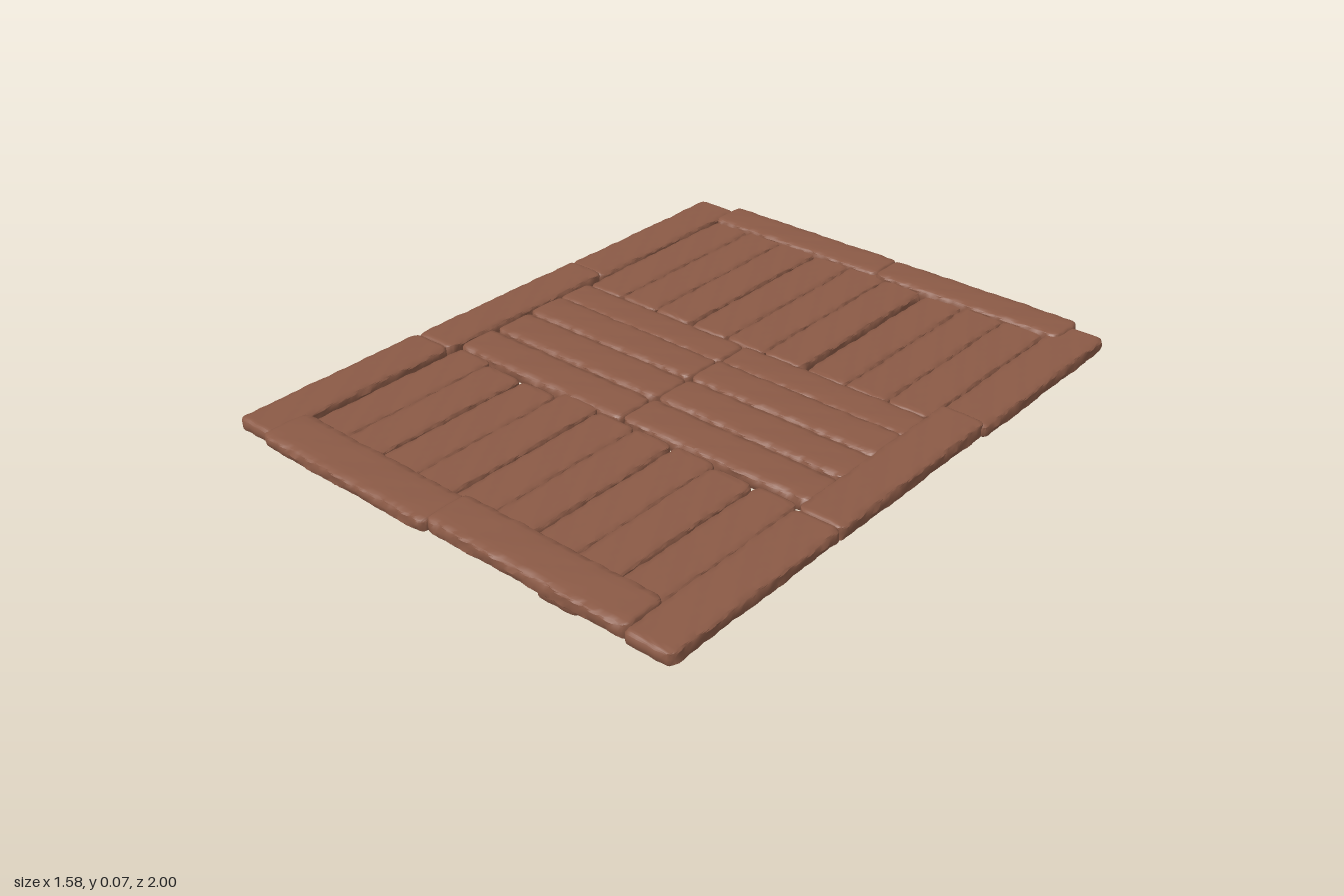
import * as THREE from 'three';
import { mergeVertices, toCreasedNormals } from 'three/addons/utils/BufferGeometryUtils.js';

const wood = new THREE.MeshStandardMaterial({ color: 0x8b5a46, roughness: 0.9 });

// Repeatable waviness built from a few sines
const wave = (t, s) =>
  0.5 * Math.sin(t * 19 + s * 2.3) + 0.35 * Math.sin(t * 53 + s * 4.1) + 0.45 * Math.sin(t * 118 + s * 7.7);

// Worn plank lying along x, centred on the origin
function plankGeometry(length, height, width, seed) {
  let geo = new THREE.BoxGeometry(2, 2, 2, 48, 4, 8);
  geo.deleteAttribute('normal');
  geo.deleteAttribute('uv');
  geo = mergeVertices(geo);
  const half = new THREE.Vector3(length / 2, height / 2, width / 2);
  const r = 0.012, corner = 0.028;
  const p = new THREE.Vector3(), core = new THREE.Vector3();
  const limit = half.clone().subScalar(r);
  const bend = (u) => Math.sin(u * Math.PI / 2);
  const pos = geo.attributes.position;
  for (let i = 0; i < pos.count; i++) {
    p.fromBufferAttribute(pos, i);
    // Gather vertices toward the edges, then round the edges
    p.set(0.6 * p.x + 0.4 * bend(p.x), bend(p.y), bend(p.z)).multiply(half);
    core.copy(p).clamp(limit.clone().negate(), limit);
    p.sub(core);
    if (p.lengthSq() > 0) p.setLength(r);
    p.add(core);
    // Round the corners in plan and chip the long and short edges
    const d = Math.max(0, half.x - Math.abs(p.x));
    const cut = d < corner ? corner - Math.sqrt(corner ** 2 - (corner - d) ** 2) : 0;
    const side = Math.sign(p.z), end = Math.sign(p.x);
    const edge = Math.abs(p.z) / half.z;
    const chip = 0.0035 * wave(p.x, seed + side * 3 + p.y * 60);
    const tip = 0.003 * wave(p.z, seed + end * 5);
    p.z += side * edge ** 3 * (chip - 0.7 * cut);
    p.x += end * (Math.abs(p.x) / half.x) ** 6 * tip;
    if (p.y > 0) p.y += 0.0012 * wave(p.x * 0.6 + p.z, seed) - 0.002 * edge ** 4;
    pos.setXYZ(i, p.x, p.y, p.z);
  }
  return toCreasedNormals(geo, 0.7);
}

export function createModel() {
  const model = new THREE.Group();
  let seed = 0;

  // Plank filling the given plan rectangle, between two heights
  function plank(name, x0, x1, z0, z1, y0, y1) {
    const w = x1 - x0, d = z1 - z0;
    const mesh = new THREE.Mesh(
      plankGeometry(Math.max(w, d), y1 - y0, Math.min(w, d), ++seed), wood);
    if (d > w) mesh.rotation.y = Math.PI / 2;
    mesh.position.set((x0 + x1) / 2, (y0 + y1) / 2, (z0 + z1) / 2);
    mesh.name = name;
    model.add(mesh);
  }

  // Lengthwise planks of the back half, with one open gap
  for (let i = 0; i < 9; i++) {
    const x = -0.64 + i * 0.14 + (i > 5 ? 0.013 : 0);
    plank('backPlank' + (i + 1), x, x + 0.138, -0.895, -0.238, 0.002 + (i % 2) * 0.002, 0.046 + (i % 3) * 0.002);
  }

  // Lengthwise planks of the front half, with uneven inner ends
  const starts = [0.305, 0.325, 0.322, 0.295, 0.305, 0.312, 0.302, 0.322, 0.313];
  starts.forEach((z, i) => {
    const x = -0.64 + i * 0.14;
    plank('frontPlank' + (i + 1), x, x + 0.138, z, z + 0.655, 0.001 + (i % 3) * 0.002, 0.045 + (i % 2) * 0.004);
  });

  // Four crosswise rows in the middle
  [[-0.238, -0.11], [-0.115, 0.022], [0.02, 0.16], [0.172, 0.31]].forEach(([z0, z1], i) => {
    const lift = (i % 2) * 0.004;
    plank('middleRight' + (i + 1), -0.642, -0.002, z0, z1, 0.008 + lift, 0.05 + lift);
    plank('middleLeft' + (i + 1), 0, 0.638, z0 - 0.003, z1 - 0.003, 0.008 + lift, 0.052 + lift);
  });

  // Side borders, the middle board resting over its neighbours
  plank('rightBorderBack', -0.78, -0.636, -0.968, -0.3, 0.012, 0.056);
  plank('rightBorderFront', -0.79, -0.647, 0.34, 0.98, 0.018, 0.058);
  plank('rightBorderMiddle', -0.78, -0.64, -0.308, 0.348, 0.016, 0.061);
  plank('leftBorderBack', 0.638, 0.784, -0.958, -0.292, 0.012, 0.055);
  plank('leftBorderFront', 0.628, 0.774, 0.35, 0.988, 0.02, 0.061);
  plank('leftBorderMiddle', 0.634, 0.778, -0.305, 0.357, 0.02, 0.065);

  // Back and front borders
  plank('backBorderRight', -0.64, 0.02, -0.998, -0.866, 0.016, 0.06);
  plank('backBorderLeft', 0.02, 0.68, -0.99, -0.858, 0.018, 0.063);
  plank('frontBorderRight', -0.668, -0.025, 0.846, 0.996, 0.02, 0.06);
  plank('frontBorderLeft', -0.03, 0.634, 0.842, 0.988, 0.027, 0.07);

  return model;
}
